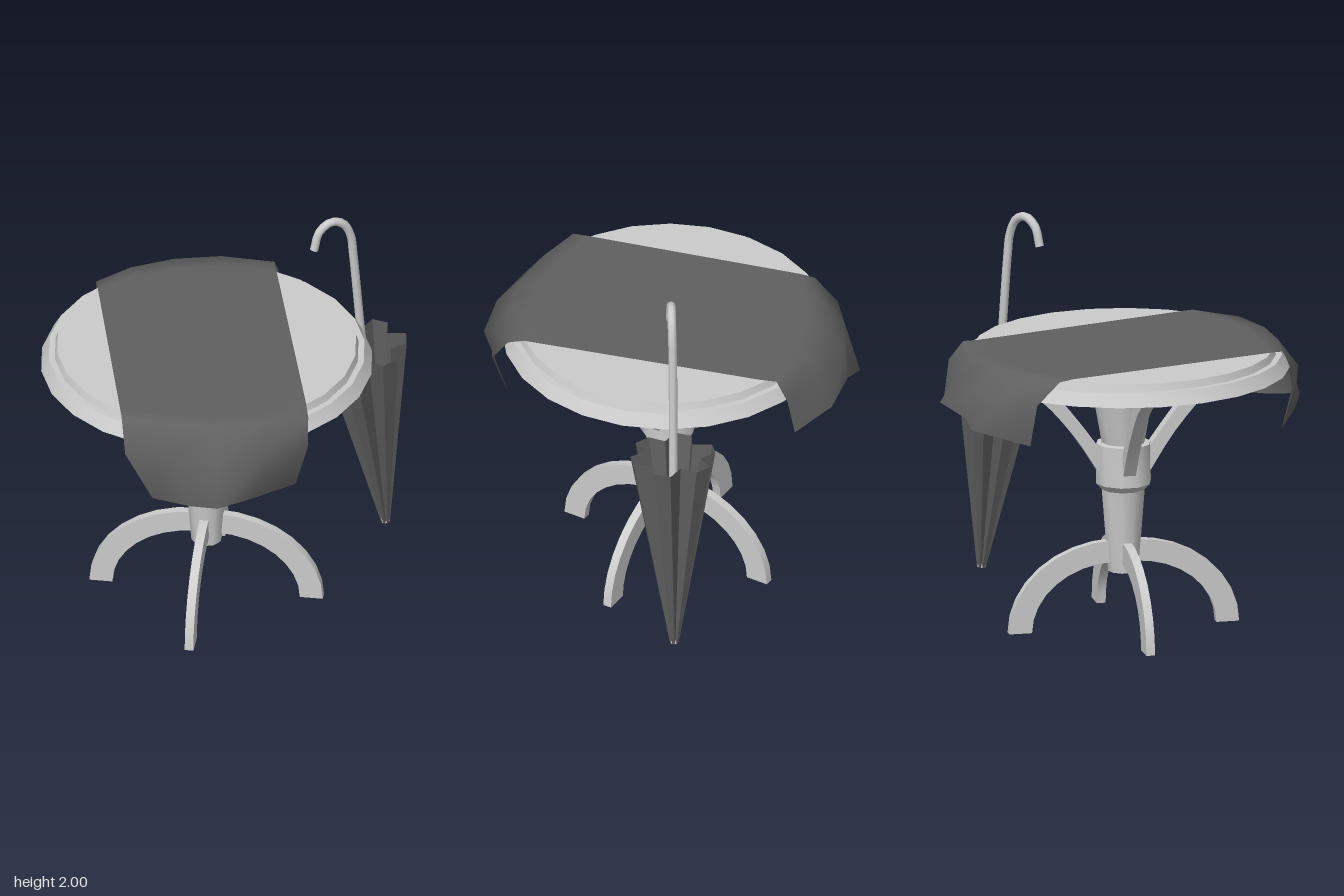
import * as THREE from 'three';
import { toCreasedNormals } from 'three/addons/utils/BufferGeometryUtils.js';

const grey = new THREE.MeshStandardMaterial({ color: 0xcccccc });
const clothDark = new THREE.MeshStandardMaterial({ color: 0x606060, side: THREE.DoubleSide });
const canopyDark = new THREE.MeshStandardMaterial({ color: 0x5c5c5c, side: THREE.DoubleSide, flatShading: true });

function part(name, geometry, material = grey) {
  const mesh = new THREE.Mesh(geometry, material);
  mesh.name = name;
  return mesh;
}

const vec2 = (pts) => pts.map(([x, y]) => new THREE.Vector2(x, y));

// Turned part from a [radius, y] profile, bottom to top
function turned(profile, sides) {
  return toCreasedNormals(new THREE.LatheGeometry(vec2(profile), sides), 0.65);
}

// Flat curved bar: outline in (radius, y), given a width
function bar(outline, width) {
  const geo = new THREE.ExtrudeGeometry(new THREE.Shape(outline), { depth: width, bevelEnabled: false });
  geo.translate(0, 0, -width / 2);
  return toCreasedNormals(geo, 0.5);
}

// Skin over equally long rows of points
function sheet(rows, closed = false) {
  const n = rows[0].length, index = [];
  for (let i = 0; i < rows.length - 1; i++) {
    for (let j = 0; j < (closed ? n : n - 1); j++) {
      const a = i * n + j, c = i * n + (j + 1) % n;
      index.push(a, a + n, c, c, a + n, c + n);
    }
  }
  const geo = new THREE.BufferGeometry();
  geo.setAttribute('position', new THREE.Float32BufferAttribute(rows.flat(2), 3));
  geo.setIndex(index);
  geo.computeVertexNormals();
  return geo;
}

function makeTable() {
  const table = new THREE.Group();
  table.name = 'table';
  table.position.set(-0.055, 0, -0.007);

  table.add(part('tableTop', turned([
    [0, 1.335], [0.825, 1.335], [0.787, 1.4], [0.757, 1.4], [0.745, 1.436], [0, 1.436],
  ], 24)));
  table.add(part('column', turned([
    [0, 0.29], [0.077, 0.29], [0.11, 0.71], [0.14, 0.742], [0.138, 0.945],
    [0.11, 0.95], [0.18, 1.335], [0, 1.335],
  ], 10)));

  // Quarter-ellipse legs
  const arc = (a, b) => Array.from({ length: 9 }, (_, i) => {
    const t = (i / 8) * Math.PI / 2;
    return new THREE.Vector2(0.05 + a * Math.cos(t), b * Math.sin(t));
  });
  const leg = bar([...arc(0.535, 0.45), ...arc(0.42, 0.34).reverse()], 0.044);

  // Curved braces under the top
  const lower = new THREE.SplineCurve(vec2([[0.13, 0.8], [0.26, 1.0], [0.44, 1.2], [0.66, 1.338]]));
  const upper = new THREE.SplineCurve(vec2([[0.52, 1.338], [0.36, 1.22], [0.24, 1.08], [0.13, 0.93]]));
  const brace = bar([...lower.getPoints(9), ...upper.getPoints(9)], 0.064);

  for (let i = 0; i < 4; i++) {
    const l = part('leg', leg), b = part('brace', brace);
    l.rotation.y = b.rotation.y = i * Math.PI / 2;
    table.add(l, b);
  }
  return table;
}

function makeCloth() {
  // Rows run from the back hem to the front hem
  const back = [
    [[-0.64, 1.11, -0.62], [-0.46, 1.16, -0.875], [-0.34, 1.19, -0.875], [-0.07, 1.21, -0.945], [0.16, 1.17, -0.87]],
    [[-0.70, 1.33, -0.60], [-0.54, 1.33, -0.74], [-0.36, 1.33, -0.85], [-0.09, 1.34, -0.87], [0.18, 1.36, -0.84]],
    [[-0.68, 1.44, -0.48], [-0.53, 1.447, -0.62], [-0.33, 1.447, -0.73], [-0.10, 1.447, -0.79], [0.17, 1.452, -0.77]],
  ];
  const front = [
    [[-0.37, 1.445, 0.73], [-0.14, 1.447, 0.76], [0.10, 1.447, 0.75], [0.33, 1.447, 0.68], [0.54, 1.42, 0.56]],
    [[-0.34, 1.28, 0.81], [-0.11, 1.30, 0.87], [0.13, 1.30, 0.87], [0.35, 1.30, 0.77], [0.55, 1.30, 0.645]],
    [[-0.21, 1.0, 0.76], [0.0, 1.05, 0.88], [0.14, 1.087, 0.94], [0.28, 1.06, 0.79], [0.48, 1.04, 0.585]],
  ];
  // Flat rows lying on the table
  const flat = [0.06, 0.3, 0.5, 0.7, 0.94].map((t) => back[2].map((p, j) => {
    const q = front[0][j];
    return [p[0] + (q[0] - p[0]) * t, 1.447, p[2] + (q[2] - p[2]) * t];
  }));
  return part('tableCloth', sheet([...back, ...flat, ...front]), clothDark);
}

function makeUmbrella() {
  const umbrella = new THREE.Group();
  umbrella.name = 'umbrella';
  const tip = new THREE.Vector3(0.762, 0.13, -0.535);
  const rim = new THREE.Vector3(0.665, 1.2, -0.468);

  // Folded canopy: six flat-edged pleats around a tilted axis
  const ring = (centre, outer, inner) => {
    const pts = [];
    for (let k = 0; k < 6; k++) {
      for (const [deg, r] of [[272, outer], [295, outer * 0.96], [313, inner]]) {
        const a = THREE.MathUtils.degToRad(deg + 60 * k);
        const dx = r * Math.cos(a), dz = r * Math.sin(a);
        pts.push([centre.x + dx, centre.y + 0.1 * dx - 0.065 * dz, centre.z + dz]);
      }
    }
    return pts;
  };
  const point = Array.from({ length: 18 }, () => tip.toArray());
  umbrella.add(part('canopy', sheet([ring(rim, 0.22, 0.14), ring(tip, 0.023, 0.018), point], true), canopyDark));

  // Shaft and crook handle
  const path = new THREE.CatmullRomCurve3([
    tip, new THREE.Vector3(0.657, 1.2, -0.466), new THREE.Vector3(0.614, 1.76, -0.437),
    new THREE.Vector3(0.603, 1.87, -0.428), new THREE.Vector3(0.57, 1.95, -0.405),
    new THREE.Vector3(0.515, 1.977, -0.37), new THREE.Vector3(0.46, 1.935, -0.333),
    new THREE.Vector3(0.437, 1.84, -0.316),
  ], false, 'centripetal');
  umbrella.add(part('shaftAndHandle', new THREE.TubeGeometry(path, 64, 0.022, 8)));
  const cap = part('handleEnd', new THREE.CircleGeometry(0.022, 8));
  const end = path.getPoint(1);
  cap.position.copy(end);
  cap.lookAt(end.clone().add(path.getTangent(1)));
  umbrella.add(cap);
  return umbrella;
}

export function createModel() {
  const model = new THREE.Group();
  model.name = 'tableWithUmbrella';
  model.add(makeTable(), makeCloth(), makeUmbrella());
  return model;
}
